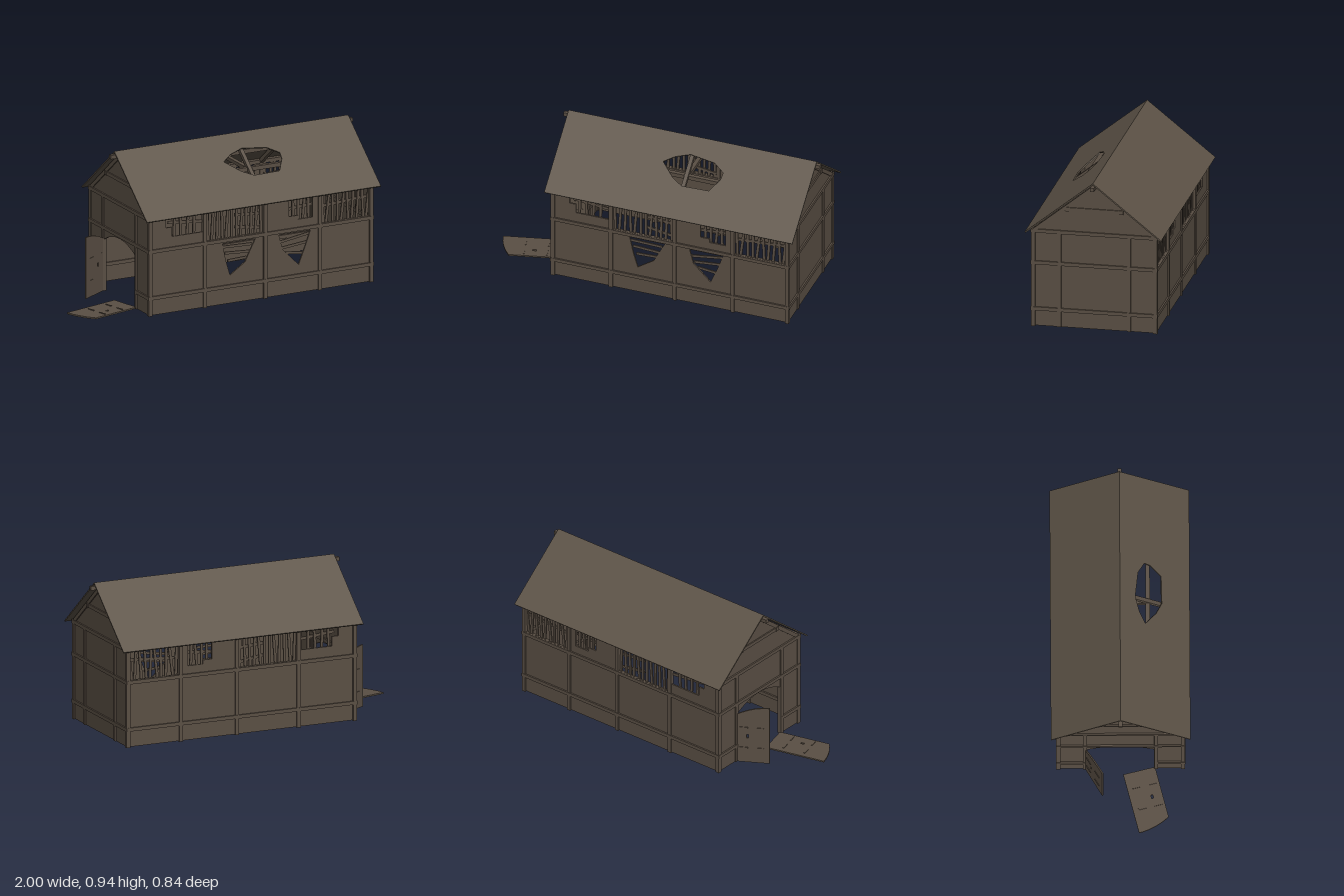
import * as THREE from 'three';

const wood = new THREE.MeshStandardMaterial({ color: 0x5a4f44 });
wood.name = 'weathered wood';
const roofing = new THREE.MeshStandardMaterial({ color: 0x5d5347 });
roofing.name = 'roof boards';

const V = (x, y, z) => new THREE.Vector3(x, y, z);
const pts = (list) => list.map(([x, y]) => new THREE.Vector2(x, y));

function add(parent, name, geometry, material = wood) {
  const mesh = new THREE.Mesh(geometry, material);
  mesh.name = name;
  parent.add(mesh);
  return mesh;
}

function box(parent, name, w, h, d, x, y, z) {
  const mesh = add(parent, name, new THREE.BoxGeometry(w, h, d));
  mesh.position.set(x, y, z);
  return mesh;
}

// square timber running between two points
function beam(parent, name, a, b, w = 0.024, h = w) {
  const mesh = add(parent, name, new THREE.BoxGeometry(w, h, a.distanceTo(b)));
  mesh.position.copy(a).lerp(b, 0.5);
  mesh.lookAt(b);
  return mesh;
}

// flat board with cut-outs
function plate(outline, holes, depth) {
  const shape = new THREE.Shape(pts(outline));
  holes.forEach((h) => shape.holes.push(new THREE.Path(pts(h))));
  return new THREE.ExtrudeGeometry(shape, { depth, bevelEnabled: false });
}

const POSTS = [-0.578, -0.205, 0.205, 0.578, 0.928];
const RAILS = [0.112, 0.405, 0.607];
const ZW = 0.375;
const archY = (z) => 0.385 - 0.055 * (z / 0.2) ** 2;

// broken-out openings under the eaves
const UPPER = [
  [[-0.47, 0.54], [-0.43, 0.54], [-0.43, 0.48], [-0.217, 0.48], [-0.217, 0.598], [-0.47, 0.598]],
  [[-0.193, 0.417], [0.193, 0.417], [0.193, 0.598], [-0.193, 0.598]],
  [[0.37, 0.49], [0.43, 0.49], [0.43, 0.465], [0.53, 0.465], [0.53, 0.598], [0.37, 0.598]],
  [[0.59, 0.417], [0.916, 0.417], [0.916, 0.598], [0.59, 0.598]],
];
// broken-out openings low in the front wall
const LOWER = [
  [[-0.085, 0.385], [-0.06, 0.27], [-0.033, 0.18], [0.07, 0.25], [0.1, 0.31], [0.14, 0.385]],
  [[0.3, 0.385], [0.325, 0.29], [0.435, 0.18], [0.48, 0.29], [0.515, 0.385]],
];

function longWall(side) {
  const wall = new THREE.Group();
  wall.name = side > 0 ? 'frontWall' : 'backWall';
  const outline = [[-0.58, 0.004], [0.93, 0.004], [0.93, 0.612], [-0.58, 0.612]];
  const holes = side > 0 ? [...UPPER, ...LOWER] : UPPER;
  add(wall, 'boarding', plate(outline, holes, 0.01)).position.z = side * ZW - 0.005;
  POSTS.forEach((x) => box(wall, 'post', 0.024, 0.61, 0.026, x, 0.305, side * ZW));
  RAILS.forEach((y) => box(wall, 'rail', 1.53, 0.022, 0.03, 0.175, y, side * ZW));

  // upright slats, some leaning
  const slats = [[-0.41, 4, 0.045, 0.05], [-0.182, 12, 0.033, 0.06], [0.4, 4, 0.035, 0.07], [0.603, 10, 0.034, 0.09]];
  slats.forEach(([start, count, step, lean]) => {
    for (let i = 0; i < count; i++) {
      const slat = box(wall, 'slat', 0.017, 0.195, 0.008, start + i * step, 0.507, side * (ZW - 0.006));
      slat.rotation.z = -lean * (0.4 + Math.sin(i * 2.3 + start * 9));
    }
  });
  // loose cross boards
  [[-0.33, 0.555, 0.24, -0.1], [0.1, 0.542, 0.19, -0.08], [0.1, 0.46, 0.19, -0.16],
    [0.45, 0.54, 0.16, 0.08], [0.75, 0.53, 0.32, 0.06]].forEach(([x, y, w, tilt]) => {
    box(wall, 'crossBoard', w, 0.018, 0.008, x, y, side * (ZW - 0.012)).rotation.z = tilt;
  });
  if (side > 0) {
    [[0.02, 0.357, 0.2, -0.03], [0.02, 0.315, 0.17, -0.06], [0.02, 0.272, 0.13, 0.04],
      [0.405, 0.35, 0.21, 0.15], [0.41, 0.305, 0.17, 0.1], [0.41, 0.255, 0.12, -0.12]].forEach(([x, y, w, tilt]) => {
      box(wall, 'brokenBoard', w, 0.016, 0.008, x, y, ZW - 0.006).rotation.z = tilt;
    });
  }
  return wall;
}

function endWall(x, gate) {
  const wall = new THREE.Group();
  wall.name = gate ? 'gateEnd' : 'closedEnd';
  const outline = [[0.38, 0.004], [0.38, 0.61], [0, 0.91], [-0.38, 0.61], [-0.38, 0.004]];
  if (gate) {
    outline.push([-0.2, 0.004]);
    for (let i = 0; i <= 8; i++) outline.push([-0.2 + i * 0.05, archY(-0.2 + i * 0.05)]);
    outline.push([0.2, 0.004]);
  }
  const boards = plate(outline, [], 0.01).rotateY(-Math.PI / 2);
  add(wall, 'boarding', boards).position.x = x + 0.005;
  for (const s of [-1, 1]) {
    box(wall, 'post', 0.026, 0.6, 0.024, x, 0.304, s * 0.214);
    if (gate) box(wall, 'lowRail', 0.03, 0.022, 0.18, x, RAILS[0], s * 0.3);
  }
  if (!gate) box(wall, 'lowRail', 0.03, 0.022, 0.776, x, RAILS[0], 0);
  [RAILS[1], RAILS[2]].forEach((y) => box(wall, 'rail', 0.03, 0.022, 0.776, x, y, 0));
  return wall;
}

// one half of the arched gate, hinge edge at x = 0
function gateLeaf(name) {
  const leaf = new THREE.Group();
  leaf.name = name;
  const outline = [[0, 0], [0.198, 0]];
  for (let i = 8; i >= 0; i--) outline.push([i * 0.02475, archY(0.2 - i * 0.025)]);
  const slot = [[0.058, 0.168], [0.07, 0.168], [0.07, 0.192], [0.058, 0.192]];
  add(leaf, 'leafBoards', plate(outline, [slot], 0.009));
  for (const y of [0.1, 0.24]) {
    for (const x of [0.04, 0.14]) box(leaf, 'strap', 0.05, 0.008, 0.014, x, y, 0.006);
  }
  return leaf;
}

function roofSlope(side) {
  const length = 0.537;
  const c = 0.782, s = 0.624;
  const outline = [[-0.62, 0], [0.975, 0], [0.975, length], [-0.62, length]];
  const hole = [[0.045, 0.195], [0.11, 0.15], [0.2, 0.118], [0.36, 0.14], [0.43, 0.19],
    [0.425, 0.235], [0.375, 0.318], [0.2, 0.322], [0.13, 0.28]];
  // mirrored slope keeps its winding by flipping x
  const flip = ([x, y]) => [side * x, y];
  const geometry = plate(outline.map(flip), side > 0 ? [hole] : [], 0.008);
  geometry.applyMatrix4(new THREE.Matrix4().makeBasis(V(side, 0, 0), V(0, -s, side * c), V(0, -c, -s * side)));
  geometry.translate(0, 0.942, 0);
  return geometry;
}

export function createModel() {
  const barn = new THREE.Group();
  barn.name = 'ruinedBarn';

  // walls
  barn.add(longWall(1), longWall(-1), endWall(POSTS[0], true), endWall(POSTS[4], false));

  // roof frame
  const frame = new THREE.Group();
  frame.name = 'roofFrame';
  barn.add(frame);
  beam(frame, 'ridgeBeam', V(-0.65, 0.91, 0), V(1, 0.91, 0), 0.024);
  for (const side of [-1, 1]) {
    beam(frame, 'purlin', V(-0.595, 0.758, side * 0.167), V(0.945, 0.758, side * 0.167), 0.026);
    POSTS.forEach((x) => beam(frame, 'rafter', V(x, 0.61, side * 0.368), V(x, 0.905, 0), 0.024));
  }
  POSTS.forEach((x) => beam(frame, 'collarBeam', V(x, 0.757, -0.167), V(x, 0.757, 0.167), 0.026, 0.022));

  // roof slopes
  add(barn, 'frontRoof', roofSlope(1), roofing);
  add(barn, 'backRoof', roofSlope(-1), roofing);

  // gate: one leaf ajar, the other fallen flat
  const open = gateLeaf('openGateLeaf');
  open.position.set(-0.585, 0.004, -0.205);
  open.rotation.y = Math.atan2(-0.507, -0.862);
  const fallen = gateLeaf('fallenGateLeaf');
  fallen.applyMatrix4(new THREE.Matrix4()
    .makeBasis(V(-0.243, 0, -0.97), V(-0.97, 0, 0.243), V(0, 1, 0))
    .setPosition(-0.579, 0.002, 0.207));
  barn.add(open, fallen);
  return barn;
}
